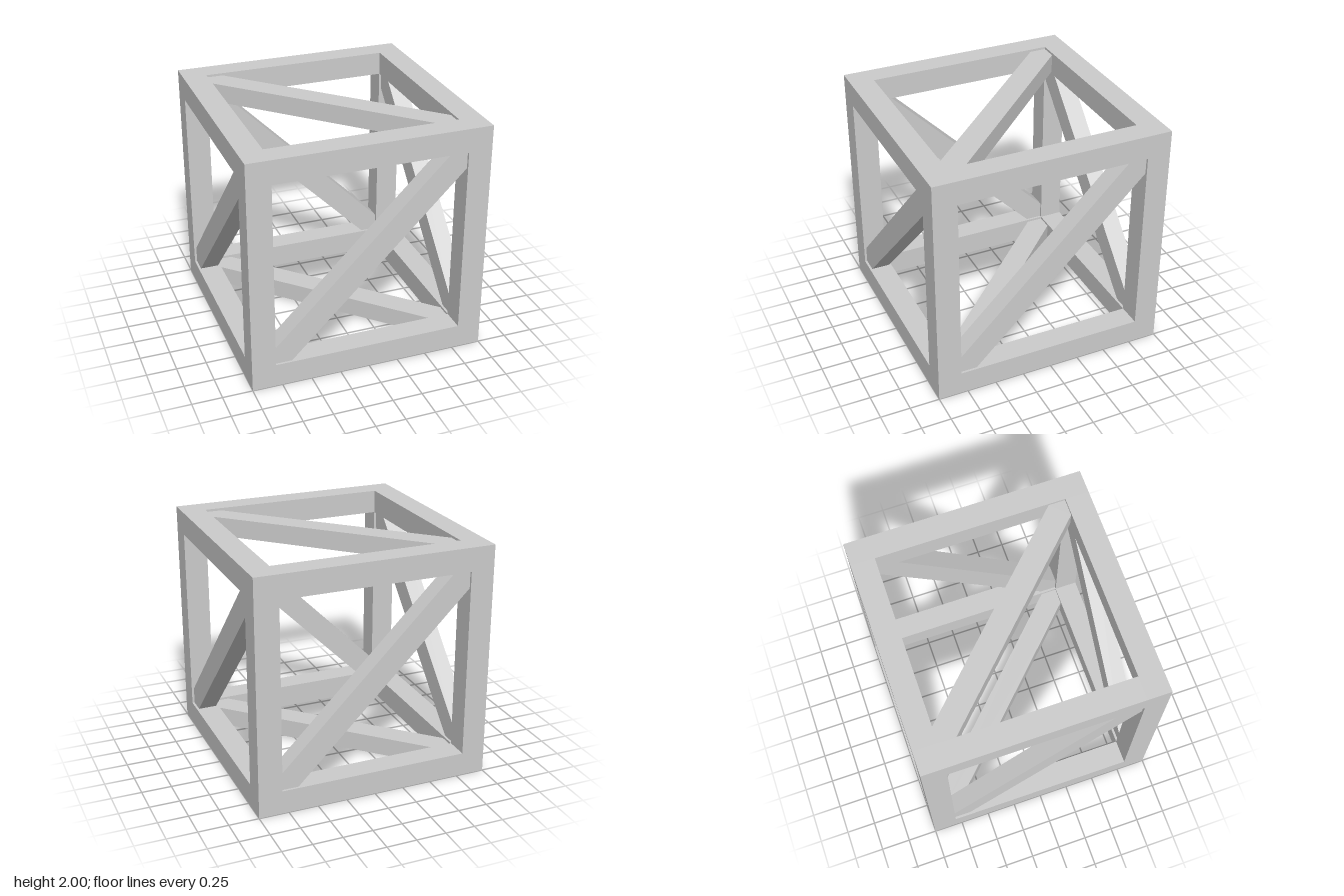
import * as THREE from 'three';

const BAR = 0.2;      // square section of the frame bars
const INNER = 0.8;    // half width of each opening
const BRACE = 0.16;   // depth of the diagonal braces
const MID = 0.9;      // centre line of the bars

export function createModel() {
  const model = new THREE.Group();
  const cube = new THREE.Group();
  cube.name = 'crate';
  cube.position.y = 1;
  model.add(cube);

  const material = new THREE.MeshStandardMaterial({ color: 0xcccccc, flatShading: true });

  const add = (name, geometry, x, y, z) => {
    const mesh = new THREE.Mesh(geometry, material);
    mesh.name = name;
    mesh.position.set(x, y, z);
    cube.add(mesh);
    return mesh;
  };

  // Frame: four full-height posts, with rails fitted between them
  const post = new THREE.BoxGeometry(BAR, 2, BAR);
  const railX = new THREE.BoxGeometry(2 * INNER, BAR, BAR);
  const railZ = new THREE.BoxGeometry(BAR, BAR, 2 * INNER);
  for (const a of [-MID, MID]) {
    for (const b of [-MID, MID]) {
      add('cornerPost', post, a, 0, b);
      add('crossRail', railX, 0, a, b);
      add('sideRail', railZ, a, b, 0);
    }
  }

  // Diagonal brace: a strip whose pointed ends fit into the opening's corners
  const i = INNER;
  const c = i - BAR * Math.SQRT1_2;
  const outline = new THREE.Shape(
    [[-i, -i], [-c, -i], [i, c], [i, i], [c, i], [-i, -c]].map(([x, y]) => new THREE.Vector2(x, y))
  );
  const brace = new THREE.ExtrudeGeometry(outline, { depth: BRACE, bevelEnabled: false });
  brace.translate(0, 0, -BRACE / 2);

  // Four upright sides, each rising to the right as seen from outside
  ['frontBrace', 'leftBrace', 'backBrace', 'rightBrace'].forEach((name, k) => {
    const angle = (k * Math.PI) / 2;
    add(name, brace, MID * Math.sin(angle), 0, MID * Math.cos(angle)).rotation.y = angle;
  });

  // Top and bottom braces run parallel
  add('topBrace', brace, 0, MID, 0).rotation.x = Math.PI / 2;
  add('bottomBrace', brace, 0, -MID, 0).rotation.x = Math.PI / 2;

  return model;
}
